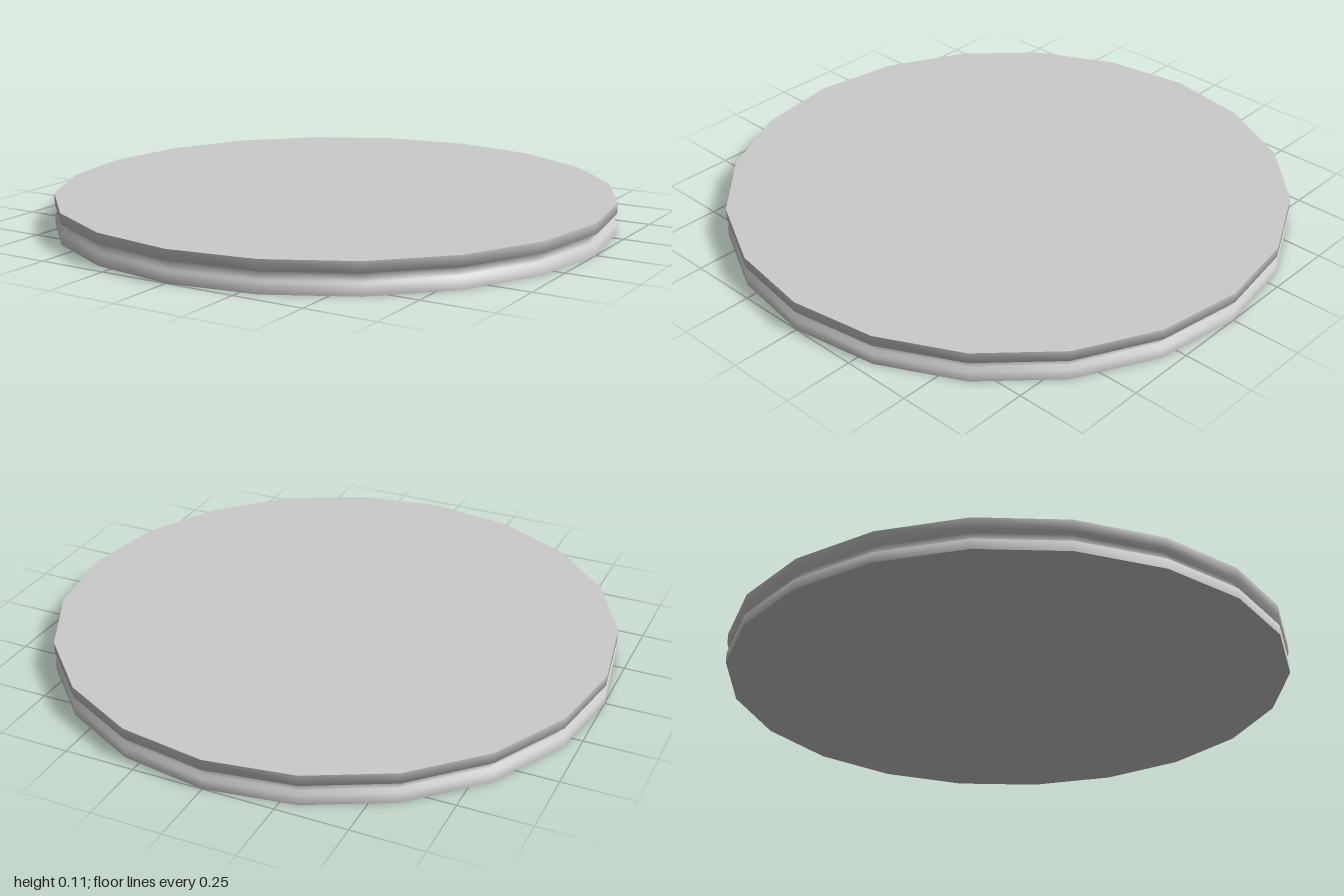
import * as THREE from 'three';

const SIDES = 20;
const HEIGHT = 0.11;

export function createModel() {
  const group = new THREE.Group();
  group.name = 'groovedDisc';
  const material = new THREE.MeshStandardMaterial({ color: 0xcccccc });

  const add = (name, geometry) => {
    const mesh = new THREE.Mesh(geometry, material);
    mesh.name = name;
    group.add(mesh);
    return mesh;
  };

  // Rim wall, with a shallow groove between two lips (bottom to top)
  const profile = [
    [1, 0], [1, 0.036], [0.976, 0.038], [0.976, 0.07], [1, 0.072], [1, HEIGHT],
  ].map(([r, y]) => new THREE.Vector2(r, y));
  add('groovedRim', new THREE.LatheGeometry(profile, SIDES));

  // Flat faces with sharp edges against the rim
  const face = new THREE.CircleGeometry(1, SIDES);
  const top = add('topFace', face);
  top.rotation.x = -Math.PI / 2;
  top.position.y = HEIGHT;
  const bottom = add('bottomFace', face);
  bottom.rotation.x = Math.PI / 2;

  return group;
}
